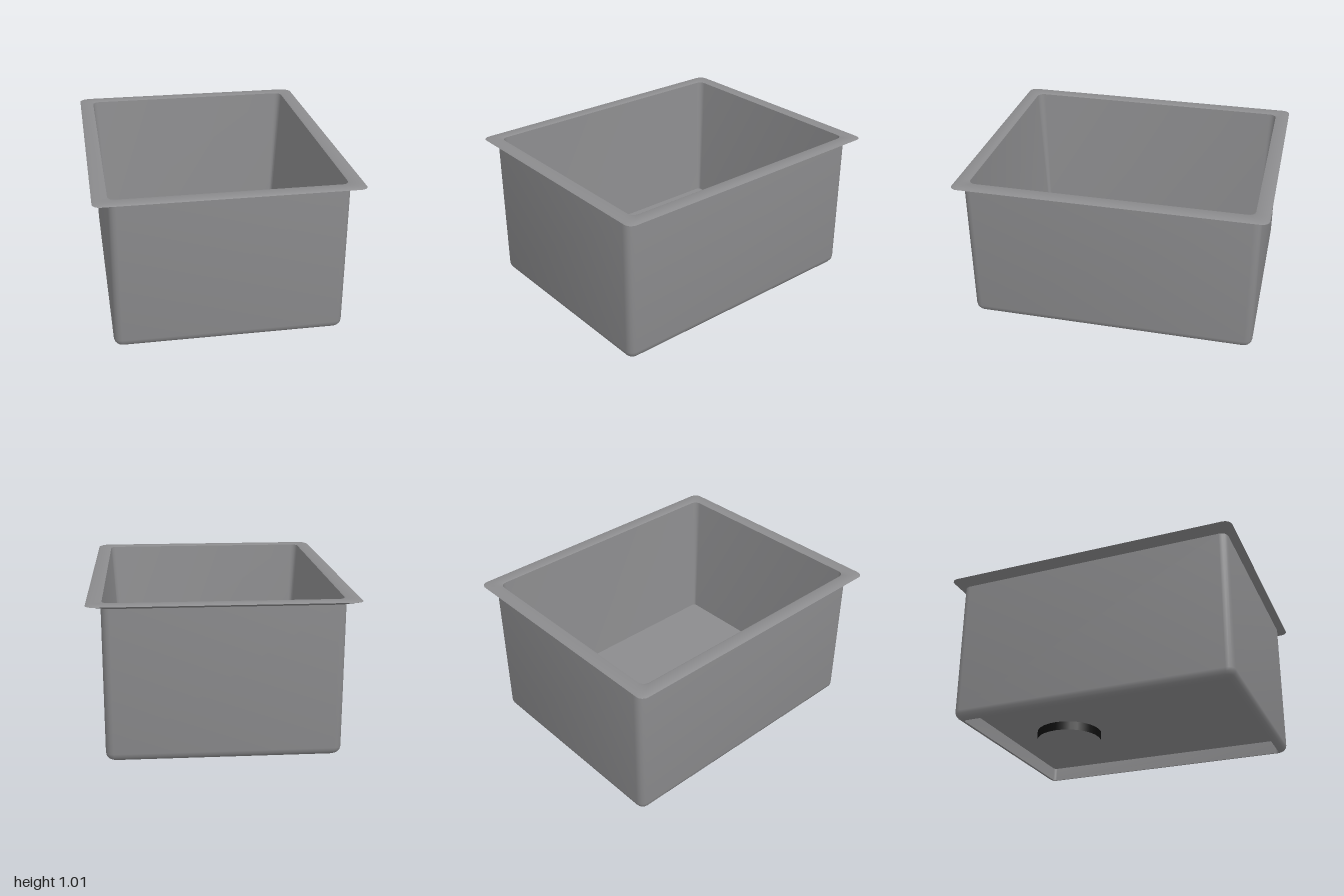
import * as THREE from 'three';
import { toCreasedNormals } from 'three/addons/utils/BufferGeometryUtils.js';

const STEPS = 4; // segments per rounded corner

// Rounded rectangle in plan: half width, half depth, corner radius, height
function ring([hx, hz, r, y]) {
  const points = [];
  for (let corner = 0; corner < 4; corner++) {
    const sx = corner === 0 || corner === 3 ? 1 : -1;
    const sz = corner < 2 ? 1 : -1;
    for (let i = 0; i <= STEPS; i++) {
      const a = (corner + i / STEPS) * Math.PI / 2;
      points.push([sx * (hx - r) + r * Math.cos(a), y, sz * (hz - r) + r * Math.sin(a)]);
    }
  }
  return points;
}

// Skin a sequence of rounded rectangles
function loft(name, sections, material) {
  const rings = sections.map(ring);
  const n = rings[0].length;
  const positions = [];
  for (let s = 0; s < rings.length - 1; s++) {
    for (let i = 0; i < n; i++) {
      const j = (i + 1) % n;
      const a = rings[s][i], b = rings[s][j], c = rings[s + 1][j], d = rings[s + 1][i];
      positions.push(...a, ...b, ...c, ...a, ...c, ...d);
    }
  }
  const geometry = new THREE.BufferGeometry();
  geometry.setAttribute('position', new THREE.Float32BufferAttribute(positions, 3));
  const mesh = new THREE.Mesh(toCreasedNormals(geometry, 0.6), material);
  mesh.name = name;
  return mesh;
}

export function createModel() {
  const steel = new THREE.MeshStandardMaterial({ color: 0x8c8c8e, side: THREE.DoubleSide });
  steel.name = 'steel';
  const black = new THREE.MeshStandardMaterial({ color: 0x0d0d0d });
  black.name = 'drain black';

  const group = new THREE.Group();
  group.name = 'sink';

  // Tapered basin with a flat floor
  const floorEdge = [0.677, 0.855, 0.02, 0.1];
  const opening = [0.735, 0.908, 0.045, 1.01];
  group.add(loft('basinFloor', [[0, 0, 0, 0.1], floorEdge], steel));
  group.add(loft('basinWalls', [floorEdge, opening], steel));

  // Flared rim with a thin edge
  const neck = [0.74, 0.95, 0.05, 0.985];
  group.add(loft('rim', [
    opening,
    [0.745, 0.93, 0.05, 1.015],
    [0.81, 0.985, 0.05, 1.015],
    [0.83, 1, 0.05, 1.007],
    neck,
  ], steel));

  // Outer shell with a rounded lower edge
  const fillet = 0.055;
  const shell = [neck];
  for (let i = 0; i <= 4; i++) {
    const a = i / 4 * Math.PI / 2;
    const inset = fillet * (1 - Math.cos(a));
    shell.push([0.74 - inset, 0.95 - inset, 0.05 - inset * 0.5, fillet * (1 - Math.sin(a))]);
  }
  group.add(loft('outerShell', shell, steel));

  // Recessed underside
  const foot = shell[shell.length - 1];
  const recess = [foot[0], foot[1], foot[2], 0.095];
  group.add(loft('underside', [foot, recess, [0, 0, 0, 0.095]], steel));

  // Drain: dark from above, steel cap below
  const drain = new THREE.Mesh(new THREE.CylinderGeometry(0.225, 0.225, 0.07, 28), [black, black, steel]);
  drain.name = 'drain';
  drain.position.set(0, 0.07, -0.45);
  group.add(drain);

  return group;
}
